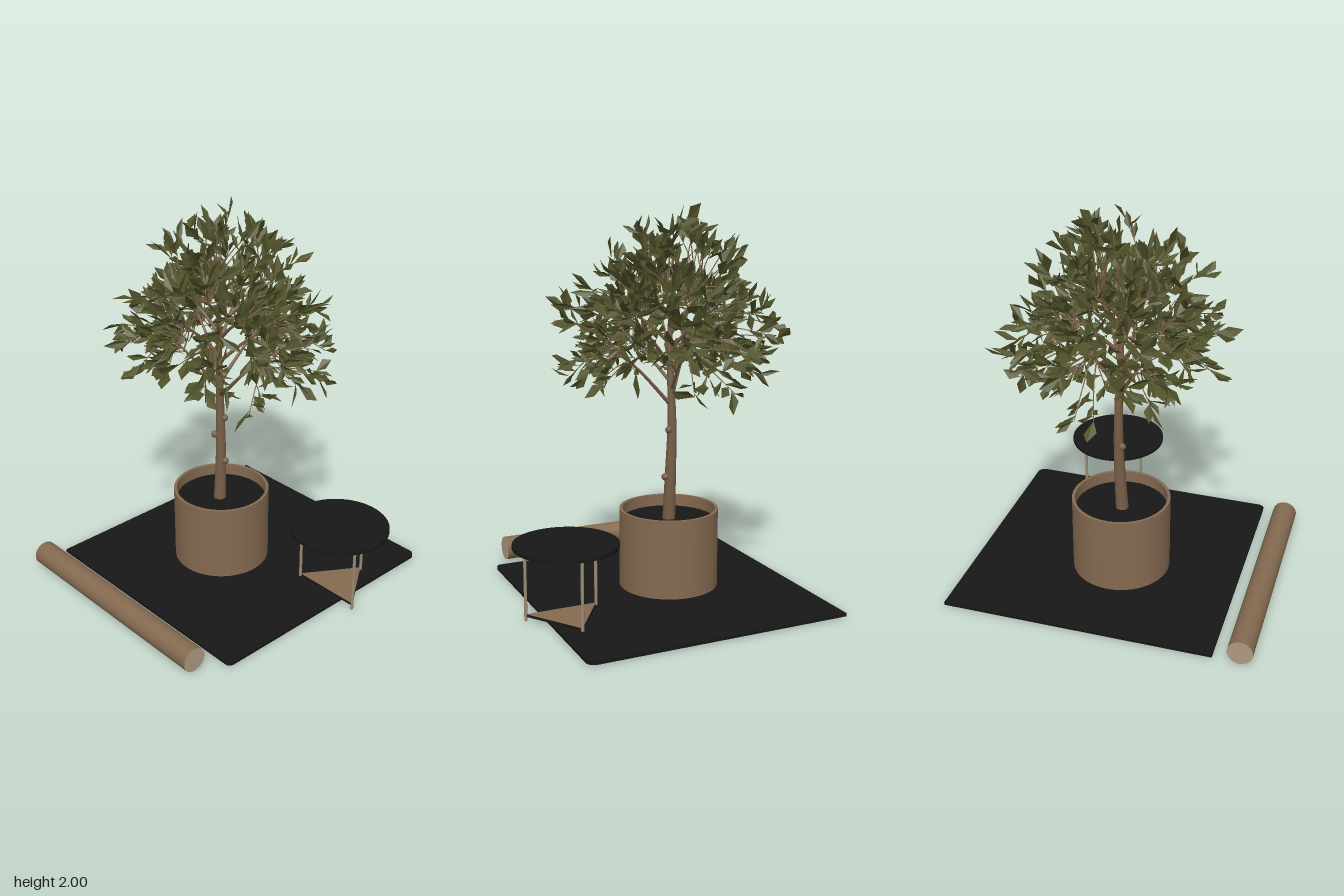
import * as THREE from 'three';
import { mergeGeometries } from 'three/addons/utils/BufferGeometryUtils.js';

const V = (x, y, z) => new THREE.Vector3(x, y, z);
const paint = (name, color, extra = {}) => {
  const m = new THREE.MeshStandardMaterial({ color, ...extra });
  m.name = name;
  return m;
};

// Small seeded random source
let seed = 7;
const rand = () => (seed = (seed * 16807) % 2147483647) / 2147483647;
const spread = (s) => (rand() - 0.5) * 2 * s;

// Tube that tapers from r0 to r1 along a smooth path
function taperedTube(points, r0, r1, segments, sides) {
  const curve = new THREE.CatmullRomCurve3(points);
  const geo = new THREE.TubeGeometry(curve, segments, 1, sides);
  const pos = geo.attributes.position;
  const v = V(0, 0, 0);
  for (let i = 0; i < pos.count; i++) {
    const t = Math.floor(i / (sides + 1)) / segments;
    const c = curve.getPointAt(t);
    v.fromBufferAttribute(pos, i).sub(c).multiplyScalar(r0 + (r1 - r0) * t).add(c);
    pos.setXYZ(i, v.x, v.y, v.z);
  }
  return geo;
}

// Two triangles folded along the midrib
function addLeaf(out, base, dir, length, width) {
  const side = V(spread(1), spread(1), spread(1)).cross(dir).normalize();
  const normal = dir.clone().cross(side);
  const at = (l, s, n) => base.clone().addScaledVector(dir, l)
    .addScaledVector(side, s).addScaledVector(normal, n);
  const tip = at(length, 0, 0);
  const a = at(length * 0.65, width, width * 0.4);
  const b = at(length * 0.45, -width, width * 0.4);
  for (const p of [base, a, tip, base, tip, b]) {
    out.push(Math.max(p.x, -0.755), Math.min(p.y, 2), p.z);
  }
}

export function createModel() {
  seed = 7;
  const model = new THREE.Group();
  const dark = paint('charcoal', 0x171717);
  const clay = paint('clay brown', 0x846a50, { side: THREE.DoubleSide });
  const endTan = paint('pale tan', 0xb09a82);
  const legMetal = paint('leg taupe', 0x9a8b74);
  const bark = paint('bark', 0x785f48);
  const leafGreen = paint('olive leaf', 0x50522a, { side: THREE.DoubleSide });

  const add = (name, geo, mat, x = 0, y = 0, z = 0, parent = model) => {
    const m = new THREE.Mesh(geo, mat);
    m.name = name;
    m.position.set(x, y, z);
    parent.add(m);
    return m;
  };

  // Floor mat, rounded at the two +x corners
  const mat = new THREE.Shape();
  mat.moveTo(-0.755, -0.6);
  mat.lineTo(0.57, -0.6);
  mat.quadraticCurveTo(0.594, -0.595, 0.595, -0.565);
  mat.lineTo(0.613, 0.765);
  mat.quadraticCurveTo(0.607, 0.795, 0.575, 0.8);
  mat.lineTo(-0.755, 0.8);
  const matGeo = new THREE.ExtrudeGeometry(mat, { depth: 0.016, bevelEnabled: false });
  add('floorMat', matGeo.rotateX(-Math.PI / 2), dark, 0, 0.004, 0);

  // Bolster roll with pale ends
  const roll = new THREE.CylinderGeometry(0.064, 0.064, 1.25, 32).rotateZ(Math.PI / 2);
  add('bolster', roll, [clay, endTan, endTan], -0.13, 0.064, 0.735);

  // Planter: pot, soil and drain hole
  const planter = new THREE.Group();
  planter.name = 'planter';
  planter.position.set(-0.155, 0, -0.037);
  model.add(planter);
  // Walls are separate so their edges stay sharp
  const walls = [
    [[0, 0.003], [0.222, 0.003]], [[0.222, 0.003], [0.222, 0]], [[0.222, 0], [0.258, 0]],
    [[0.258, 0], [0.258, 0.432]], [[0.258, 0.432], [0.242, 0.432]], [[0.242, 0.432], [0.242, 0.34]],
  ].map((w) => new THREE.LatheGeometry(w.map((p) => new THREE.Vector2(...p)), 48));
  add('pot', mergeGeometries(walls), clay, 0, 0, 0, planter);
  add('soil', new THREE.CylinderGeometry(0.242, 0.242, 0.02, 48), dark, 0, 0.36, 0, planter);
  const hole = new THREE.CircleGeometry(0.1, 20).rotateX(Math.PI / 2);
  add('drainHole', hole, dark, 0, 0.0015, 0, planter);

  // Side table: round top, three legs, triangular shelf
  const table = new THREE.Group();
  table.name = 'sideTable';
  model.add(table);
  add('tableTop', new THREE.CylinderGeometry(0.26, 0.26, 0.016, 64), dark, 0.508, 0.387, -0.262, table);
  const feet = [[0.32, -0.18], [0.69, -0.18], [0.505, -0.46]];
  for (const [x, z] of feet) {
    add('tableLeg', new THREE.CylinderGeometry(0.008, 0.008, 0.38, 12), legMetal, x, 0.19, z, table);
  }
  const tri = new THREE.Shape(feet.map(([x, z]) => new THREE.Vector2(x, -z)));
  const shelf = new THREE.ExtrudeGeometry(tri, { depth: 0.012, bevelEnabled: false }).rotateX(-Math.PI / 2);
  add('tableShelf', shelf, dark, 0, 0.02, 0, table);
  add('shelfPanel', new THREE.ShapeGeometry(tri).rotateX(-Math.PI / 2), clay, 0, 0.0335, 0, table);

  // Tree trunk with knots
  const tree = new THREE.Group();
  tree.name = 'tree';
  model.add(tree);
  const trunkPath = [V(-0.16, 0.36, -0.03), V(-0.162, 0.6, -0.042), V(-0.168, 0.85, -0.045),
    V(-0.165, 1.05, -0.04), V(-0.16, 1.3, -0.03), V(-0.165, 1.55, -0.04), V(-0.17, 1.72, -0.04)];
  add('trunk', taperedTube(trunkPath, 0.034, 0.006, 24, 12), bark, 0, 0, 0, tree);
  for (const [x, y, z] of [[-0.13, 0.6, -0.045], [-0.185, 0.75, -0.02], [-0.145, 0.85, -0.055]]) {
    add('knot', new THREE.SphereGeometry(0.019, 10, 8), bark, x, y, z, tree);
  }

  // Crown: a dome, narrowing upward, of twig tips around this centre
  const centre = V(-0.14, 1.33, -0.05);
  const size = V(0.57, 0.6, 0.53);
  const domePoint = (angle, height, k) => {
    const r = Math.sqrt(Math.max(0, 1 - height * height)) * (1 - 0.2 * Math.max(0, height));
    return V(Math.cos(angle) * r, height, Math.sin(angle) * r).multiply(size).multiplyScalar(k).add(centre);
  };
  const trunkCurve = new THREE.CatmullRomCurve3(trunkPath);

  // Main limbs rise from the trunk
  const branches = [];
  const limbs = [];
  for (let i = 0; i < 13; i++) {
    const end = domePoint(i * 2.4, -0.02 + 0.065 * i, 0.58);
    const start = trunkCurve.getPointAt(0.45 + 0.03 * i);
    const middle = start.clone().lerp(end, 0.5).add(V(0, 0.015, 0));
    limbs.push([start, middle, end]);
    branches.push(taperedTube([start, middle, end], 0.011, 0.004, 8, 6));
  }

  // Twigs fork from the closest limb and carry leaf clusters
  const leaves = [];
  const tips = 210;
  for (let i = 0; i < tips; i++) {
    const height = -0.42 + 1.42 * ((i + 0.5) / tips);
    const tip = domePoint(i * 2.39996 + spread(0.3), height, 1 - 0.65 * rand() ** 1.2);
    const limb = limbs.reduce((a, b) => (a[2].distanceTo(tip) < b[2].distanceTo(tip) ? a : b));
    const root = limb[1].clone().lerp(limb[2], 0.2 + 0.8 * rand());
    const bend = root.clone().lerp(tip, 0.5).add(V(spread(0.02), 0.015, spread(0.02)));
    branches.push(taperedTube([root, bend, tip], 0.004, 0.002, 5, 5));
    const outward = tip.clone().sub(centre).normalize().add(V(0, 0.1, 0));
    for (let k = 0; k < 5; k++) {
      const dir = outward.clone().add(V(spread(1), spread(0.85), spread(1))).normalize();
      const base = tip.clone().lerp(bend, 0.14 * k);
      addLeaf(leaves, base, dir, 0.08 + 0.065 * rand(), 0.014 + 0.017 * rand());
    }
  }
  add('branches', mergeGeometries(branches), bark, 0, 0, 0, tree);
  const leafGeo = new THREE.BufferGeometry();
  leafGeo.setAttribute('position', new THREE.Float32BufferAttribute(leaves, 3));
  leafGeo.computeVertexNormals();
  add('leaves', leafGeo, leafGreen, 0, 0, 0, tree);

  return model;
}
